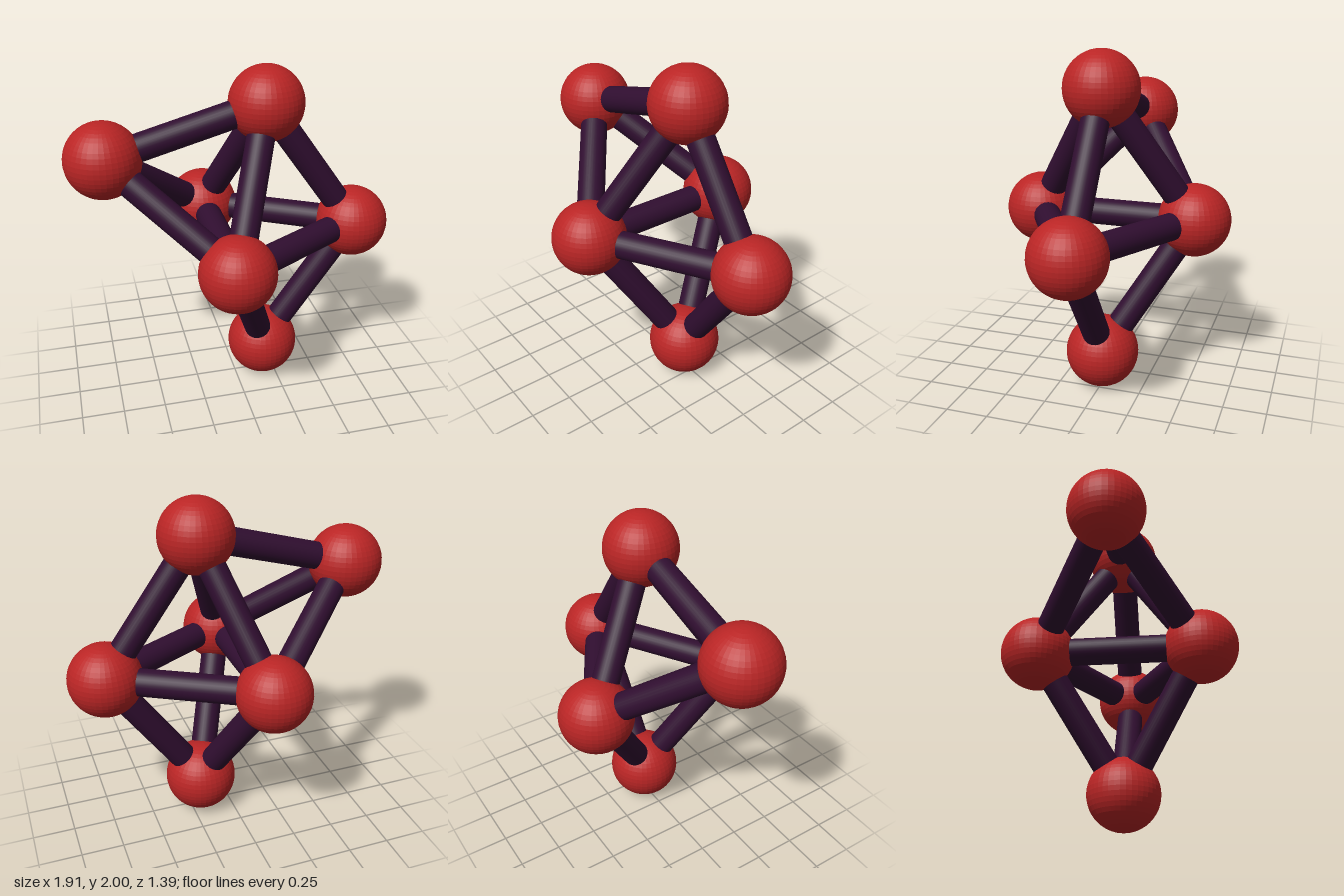
import * as THREE from 'three';

const BALL_RADIUS = 0.216;
const ROD_RADIUS = 0.08;

// Ball centres
const nodes = {
  top: [0.18, 1.784, 0],
  outer: [-0.74, 1.53, 0],
  front: [-0.1, 1.0, 0.48],
  back: [-0.1, 1.0, -0.48],
  side: [0.735, 1.0, 0],
  bottom: [0.18, 0.216, 0],
};

// Pairs of balls joined by a rod
const links = [
  ['top', 'outer'], ['top', 'front'], ['top', 'back'], ['top', 'side'],
  ['outer', 'front'], ['outer', 'back'],
  ['front', 'back'], ['front', 'side'], ['back', 'side'],
  ['bottom', 'front'], ['bottom', 'back'], ['bottom', 'side'],
];

export function createModel() {
  const model = new THREE.Group();
  model.name = 'ballAndRodCluster';

  const red = new THREE.MeshStandardMaterial({ color: 0xba2525, flatShading: true });
  red.name = 'red';
  const darkPurple = new THREE.MeshStandardMaterial({ color: 0x300e30 });
  darkPurple.name = 'darkPurple';

  // Balls
  const ballGeometry = new THREE.SphereGeometry(BALL_RADIUS, 40, 24);
  for (const [name, position] of Object.entries(nodes)) {
    const ball = new THREE.Mesh(ballGeometry, red);
    ball.name = name + 'Ball';
    ball.position.set(...position);
    model.add(ball);
  }

  // Rods, ending inside the balls
  const up = new THREE.Vector3(0, 1, 0);
  for (const [from, to] of links) {
    const a = new THREE.Vector3(...nodes[from]);
    const b = new THREE.Vector3(...nodes[to]);
    const direction = b.clone().sub(a);
    const length = direction.length() - BALL_RADIUS;
    const rod = new THREE.Mesh(
      new THREE.CylinderGeometry(ROD_RADIUS, ROD_RADIUS, length, 32), darkPurple);
    rod.name = `${from}To${to[0].toUpperCase()}${to.slice(1)}Rod`;
    rod.position.copy(a).add(b).multiplyScalar(0.5);
    rod.quaternion.setFromUnitVectors(up, direction.normalize());
    model.add(rod);
  }

  return model;
}
